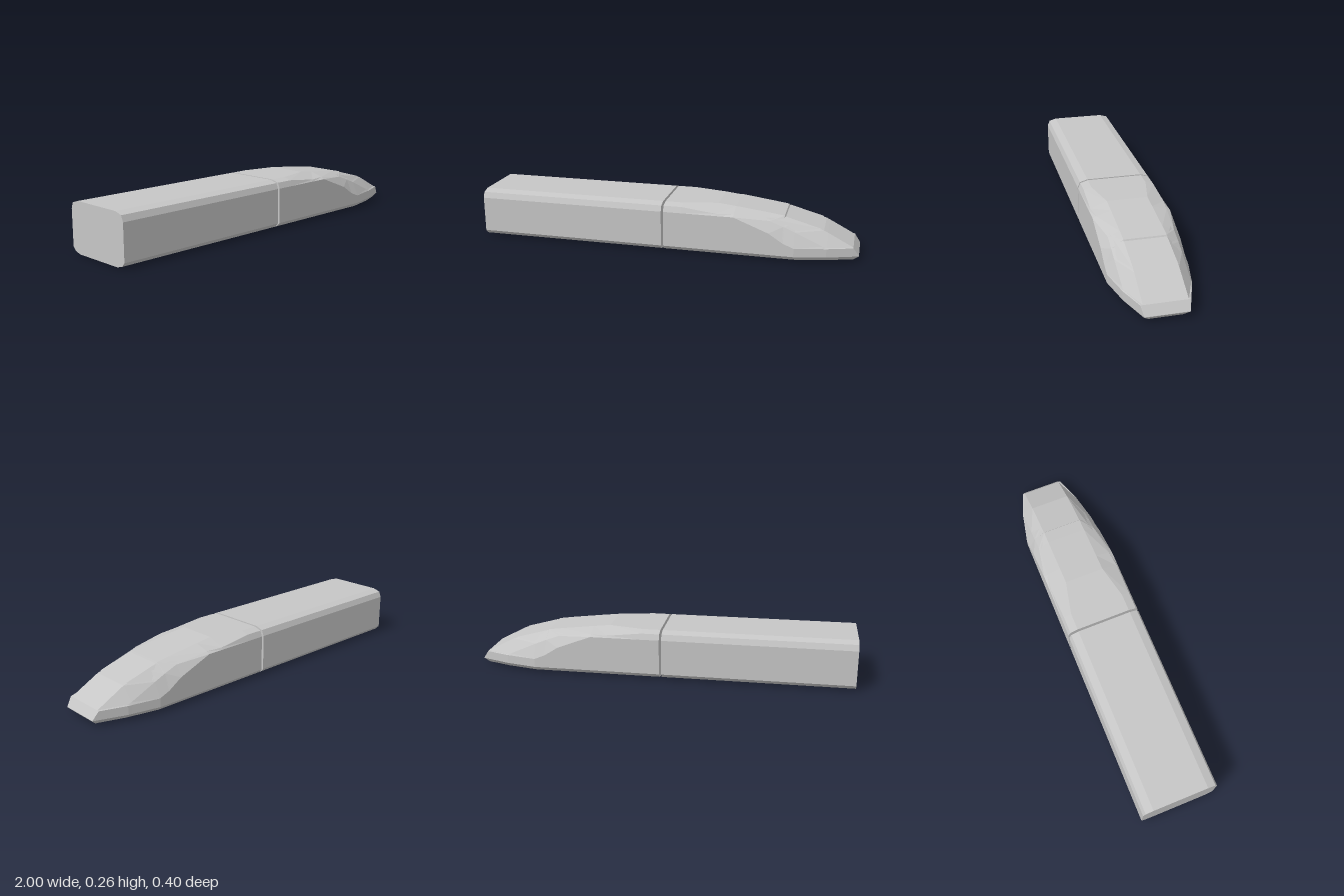
import * as THREE from 'three';

const paint = new THREE.MeshStandardMaterial({ color: 0xc6c6c6 });
paint.name = 'light grey';
paint.flatShading = true;
const glassPaint = paint.clone();
glassPaint.name = 'light grey plate';
glassPaint.side = THREE.DoubleSide;

// Half section from the floor up to the roof as [z, y] pairs
const bodySection = [[0.145, 0], [0.18, 0.01], [0.198, 0.03], [0.198, 0.215], [0.186, 0.245], [0.145, 0.257]];

// Cross-sections of the nose: x, then the half section
const floor = (w, lift = 0) => [[w - 0.053, lift], [w - 0.018, 0.01 + lift], [w, 0.03]];
const noseStations = [
  [0.006, bodySection],
  [0.1, bodySection],
  [0.28, [...floor(0.198), [0.198, 0.215], [0.191, 0.225], [0.105, 0.257]]],
  [0.37, [...floor(0.198), [0.198, 0.215], [0.18, 0.225], [0.105, 0.247]]],
  [0.55, [...floor(0.198), [0.198, 0.145], [0.163, 0.2], [0.105, 0.225]]],
  [0.62, [...floor(0.198), [0.198, 0.1], [0.163, 0.174], [0.105, 0.215]]],
  [0.625, [...floor(0.198), [0.198, 0.097], [0.163, 0.172], [0.105, 0.207]]],
  [0.68, [...floor(0.198), [0.198, 0.075], [0.163, 0.149], [0.105, 0.193]]],
  [0.82, [...floor(0.167), [0.167, 0.075], [0.16, 0.086], [0.105, 0.153]]],
  [0.84, [...floor(0.163), [0.163, 0.075], [0.158, 0.079], [0.105, 0.143]]],
  [0.97, [[0.08, 0], [0.1, 0.01], [0.116, 0.03], [0.116, 0.074], [0.112, 0.075], [0.105, 0.075]]],
  [1.0, [[0.1, 0.029], [0.102, 0.029], [0.105, 0.03], [0.105, 0.03], [0.105, 0.031], [0.104, 0.031]]],
];

// Skins mirrored sections along x and closes both ends
function loft(stations) {
  const rings = stations.map(([x, half]) => [
    ...half.map(([z, y]) => [x, y, z]),
    ...[...half].reverse().map(([z, y]) => [x, y, -z]),
  ]);
  const n = rings[0].length;
  const pos = [];
  const tri = (a, b, c) => pos.push(...a, ...b, ...c);
  for (let i = 0; i < rings.length - 1; i++) {
    for (let j = 0; j < n; j++) {
      const k = (j + 1) % n;
      const [a, b, c, d] = [rings[i][j], rings[i][k], rings[i + 1][k], rings[i + 1][j]];
      if (j < n / 2) {
        tri(a, d, c);
        tri(a, c, b);
      } else {
        tri(a, d, b);
        tri(d, c, b);
      }
    }
  }
  const last = rings[rings.length - 1];
  for (let j = 1; j < n - 1; j++) {
    tri(rings[0][0], rings[0][j], rings[0][j + 1]);
    tri(last[0], last[j + 1], last[j]);
  }
  return toGeometry(pos);
}

function toGeometry(pos) {
  const g = new THREE.BufferGeometry();
  g.setAttribute('position', new THREE.Float32BufferAttribute(pos, 3));
  g.computeVertexNormals();
  return g;
}

// Wraparound windscreen: a strip bent at the two front pillars
function windscreen() {
  const columns = [
    [[0.53, 0.212, 0.152], [0.69, 0.155, 0.152]],
    [[0.628, 0.21, 0.105], [0.805, 0.161, 0.105]],
    [[0.628, 0.21, -0.105], [0.805, 0.161, -0.105]],
    [[0.53, 0.212, -0.152], [0.69, 0.155, -0.152]],
  ];
  const pos = [];
  for (let i = 0; i < 3; i++) {
    const [[a, b], [d, c]] = [columns[i], columns[i + 1]];
    pos.push(...a, ...b, ...c, ...a, ...c, ...d);
  }
  return toGeometry(pos);
}

export function createModel() {
  const train = new THREE.Group();
  train.name = 'train';
  const add = (name, geometry, material) => {
    const mesh = new THREE.Mesh(geometry, material);
    mesh.name = name;
    train.add(mesh);
  };
  add('passengerCar', loft([[-1, bodySection], [-0.006, bodySection]]), paint);
  add('noseCar', loft(noseStations), paint);
  add('windscreen', windscreen(), glassPaint);
  return train;
}
